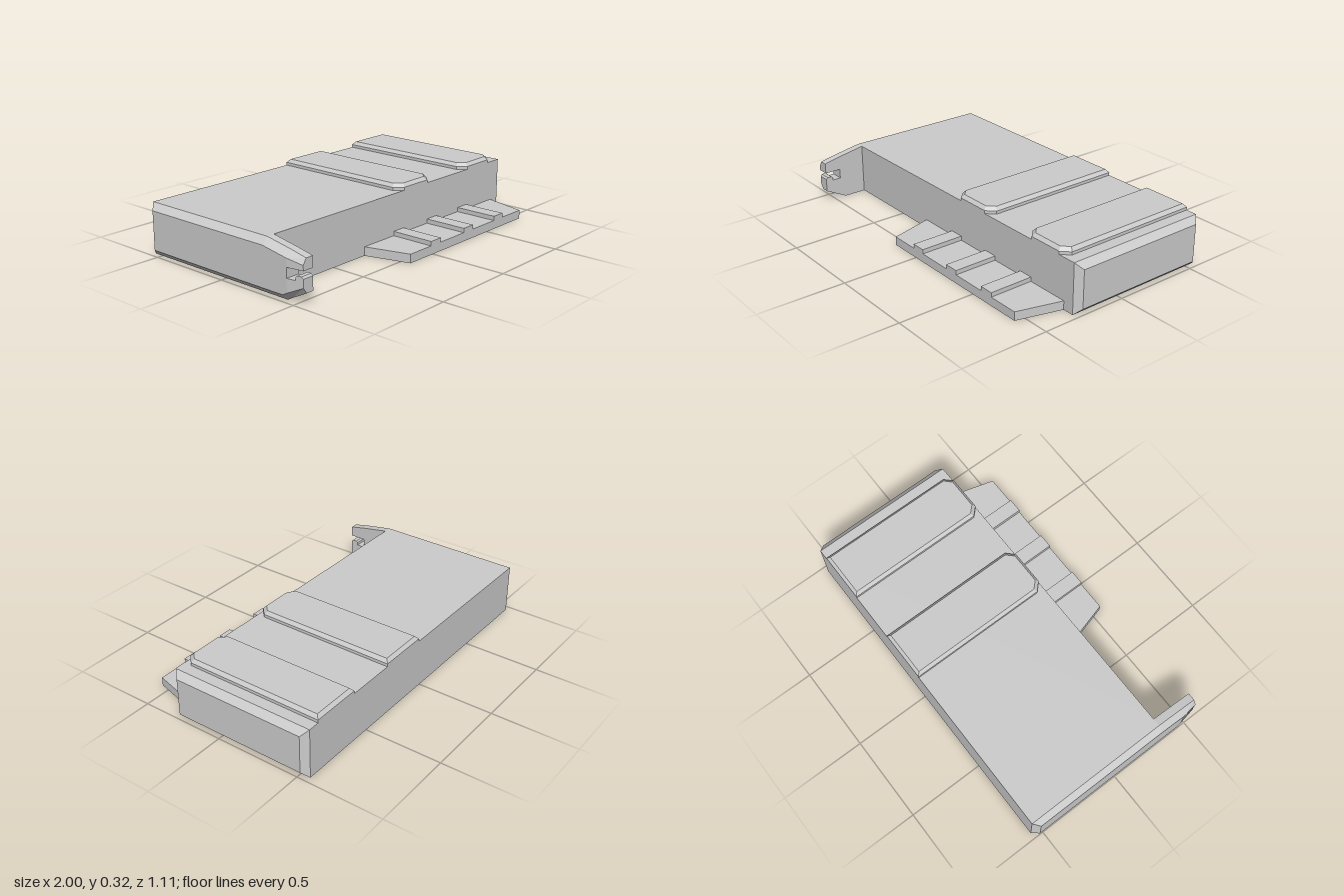
import * as THREE from 'three';

const material = new THREE.MeshStandardMaterial({ color: 0xcccccc, flatShading: true });

// Closed solid through rings of equal point count; the caps follow the 2D outline of each ring
function loft(name, rings, flat) {
  const tris = [];
  const n = rings[0].length;
  for (let r = 0; r + 1 < rings.length; r++) {
    for (let i = 0; i < n; i++) {
      const j = (i + 1) % n;
      const [a, b, c, d] = [rings[r][i], rings[r][j], rings[r + 1][j], rings[r + 1][i]];
      tris.push([a, b, c], [a, c, d]);
    }
  }
  // Cap winding is made to agree with the ring direction
  const cap = (ring, first) => {
    const outline = ring.map(flat);
    const ringSign = Math.sign(THREE.ShapeUtils.area(outline));
    for (const f of THREE.ShapeUtils.triangulateShape(outline, [])) {
      const t = f.map((k) => ring[k]);
      const same = Math.sign(THREE.ShapeUtils.area(t.map(flat))) === ringSign;
      tris.push(same !== first ? t : t.reverse());
    }
  };
  cap(rings[0], true);
  cap(rings[rings.length - 1], false);
  // Turn everything outwards if the enclosed volume is negative
  let volume = 0;
  for (const [a, b, c] of tris) volume += a.dot(b.clone().cross(c));
  if (volume < 0) tris.forEach((t) => t.reverse());
  const geometry = new THREE.BufferGeometry().setFromPoints(tris.flat());
  geometry.computeVertexNormals();
  const mesh = new THREE.Mesh(geometry, material);
  mesh.name = name;
  return mesh;
}

const V = (x, y, z) => new THREE.Vector3(x, y, z);
const flatZY = (p) => new THREE.Vector2(p.z, p.y);
const flatXZ = (p) => new THREE.Vector2(p.x, p.z);

function box(name, x0, x1, y0, y1, z0, z1) {
  const mesh = new THREE.Mesh(new THREE.BoxGeometry(x1 - x0, y1 - y0, z1 - z0), material);
  mesh.position.set((x0 + x1) / 2, (y0 + y1) / 2, (z0 + z1) / 2);
  mesh.name = name;
  return mesh;
}

const BACK = -0.555, FRONT = 0.3, TIP = 0.555, TOP = 0.288;

// Piece of the side plate: full outline, then bevelled to a smaller outer face that narrows at the tip
function platePiece(name, outline, outer) {
  const outerX = (z) => -1 + Math.max(0, (z - 0.46) / 0.095) * 0.015;
  return loft(name, [
    outline.map(([z, y]) => V(-0.92, y, z)),
    outline.map(([z, y]) => V(-0.965, y, z)),
    outer.map(([z, y]) => V(outerX(z), y, z)),
  ], flatZY);
}

// Raised strip with cut front corners and a bevelled top
function topStrip(x0, x1) {
  const ring = (y, inset) => {
    const l = x0 + inset, r = x1 - inset, b = BACK + inset, f = FRONT - inset;
    const c = 0.045 - inset * 0.4;
    return [V(l, y, b), V(r, y, b), V(r, y, f - c), V(r - c, y, f), V(l + c, y, f), V(l, y, f - c)];
  };
  return loft('topStrip', [ring(TOP - 0.01, 0), ring(0.305, 0), ring(0.324, 0.017)], flatXZ);
}

export function createModel() {
  const model = new THREE.Group();

  // Main slab
  model.add(box('body', -0.92, 0.92, 0, TOP, BACK, FRONT));

  // Bevelled end on the left
  const endRing = (x, i) => [
    V(x, i, BACK + i), V(x, i, FRONT - i), V(x, TOP - i, FRONT - i), V(x, TOP - i, BACK + i),
  ];
  model.add(loft('bevelledEnd', [endRing(0.92, 0), endRing(0.965, 0), endRing(1, 0.035)], flatZY));

  // Side plate reaching forward into a slotted arm
  const arm = new THREE.Group();
  arm.name = 'sidePlateWithArm';
  arm.add(platePiece('sidePlate',
    [[BACK, 0], [0.43, 0], [0.46, 0.016], [0.46, 0.26], [FRONT, TOP], [BACK, TOP]],
    [[-0.52, 0.035], [0.43, 0.035], [0.46, 0.051], [0.46, 0.226], [FRONT, 0.253], [-0.52, 0.253]]));
  arm.add(platePiece('upperJaw',
    [[0.46, 0.18], [TIP, 0.18], [TIP, 0.24], [0.46, 0.26]],
    [[0.46, 0.18], [TIP, 0.18], [TIP, 0.208], [0.46, 0.226]]));
  const hook = [[TIP, 0.14], [0.545, 0.15], [0.52, 0.15], [0.51, 0.142], [0.51, 0.125], [0.46, 0.125]];
  arm.add(platePiece('lowerJaw',
    [[0.46, 0.016], [TIP, 0.065], ...hook],
    [[0.46, 0.051], [TIP, 0.095], ...hook]));
  model.add(arm);

  // Two raised strips across the top
  model.add(topStrip(0.025, 0.318), topStrip(0.607, 0.9));

  // Tapered front ledge with three ridges
  const ledgeRing = (y) => [
    V(-0.26, y, FRONT), V(-0.19, y, TIP), V(0.83, y, TIP), V(0.9, y, FRONT),
  ];
  model.add(loft('frontLedge', [ledgeRing(0), ledgeRing(0.05)], flatXZ));
  for (const x of [-0.017, 0.277, 0.567]) {
    model.add(box('ledgeRidge', x, x + 0.084, 0.04, 0.075, FRONT, TIP));
  }

  return model;
}
